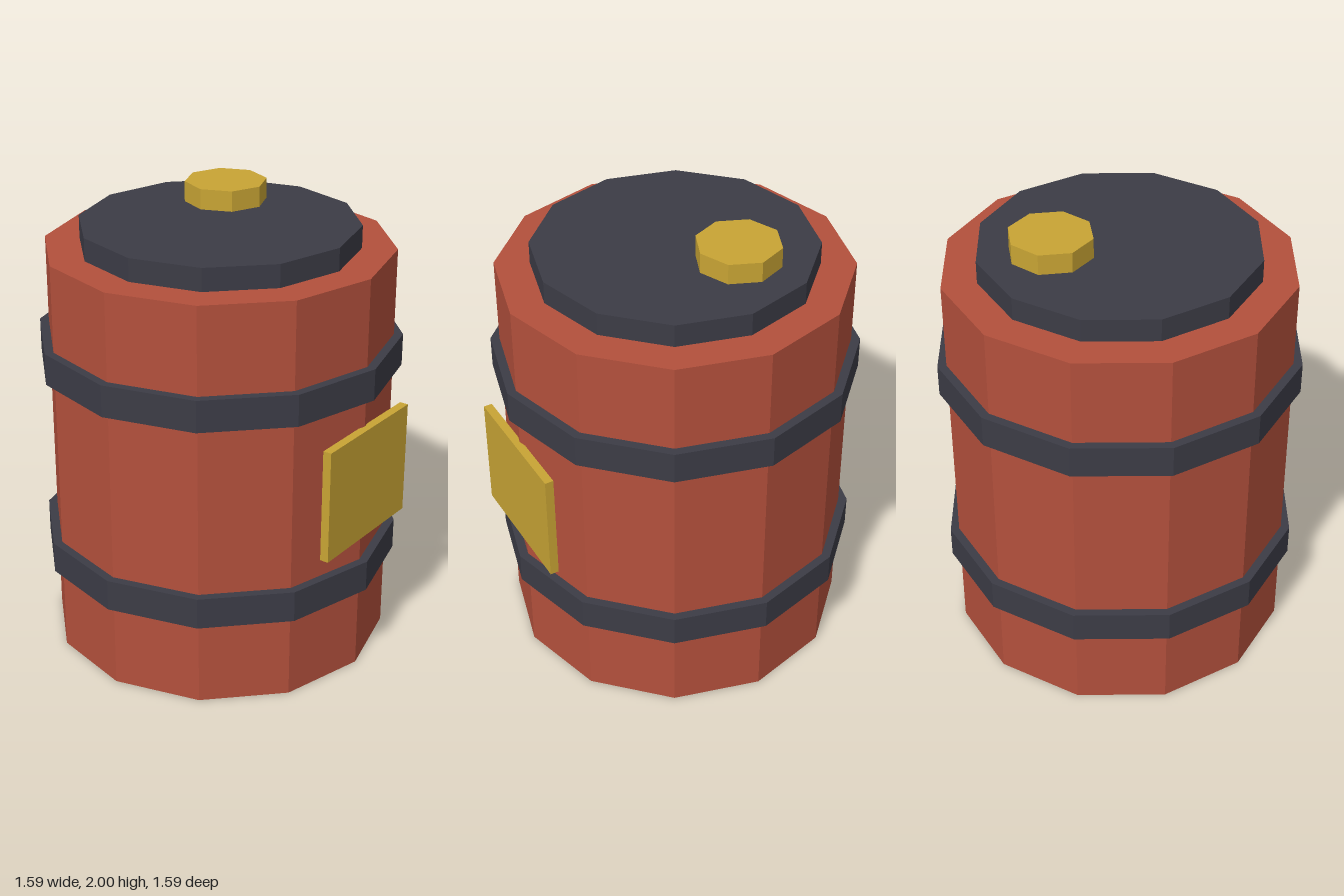
import * as THREE from 'three';

export function createModel() {
  const group = new THREE.Group();
  group.name = 'barrel';

  const material = (name, color) => {
    const m = new THREE.MeshStandardMaterial({ color, flatShading: true });
    m.name = name;
    return m;
  };
  const red = material('rust red', 0xb3503c);
  const dark = material('dark steel', 0x3c3c46);
  const yellow = material('yellow', 0xc8a434);

  const add = (name, geometry, mat, x, y, z) => {
    const mesh = new THREE.Mesh(geometry, mat);
    mesh.name = name;
    mesh.position.set(x, y, z);
    group.add(mesh);
  };

  // Faceted upright drum between two heights
  const drum = (name, mat, radius, bottom, top, sides = 12, x = 0, z = 0) =>
    add(name, new THREE.CylinderGeometry(radius, radius, top - bottom, sides),
      mat, x, (bottom + top) / 2, z);

  drum('body', red, 0.755, 0, 1.81);
  drum('lowerBand', dark, 0.794, 0.385, 0.525);
  drum('upperBand', dark, 0.794, 1.288, 1.428);
  drum('lid', dark, 0.604, 1.81, 1.91);
  drum('cap', yellow, 0.181, 1.91, 2, 8, 0.25, -0.152);

  // Front label plate
  add('labelPlate', new THREE.BoxGeometry(0.6, 0.504, 0.038), yellow, 0, 0.907, 0.765);

  return group;
}
